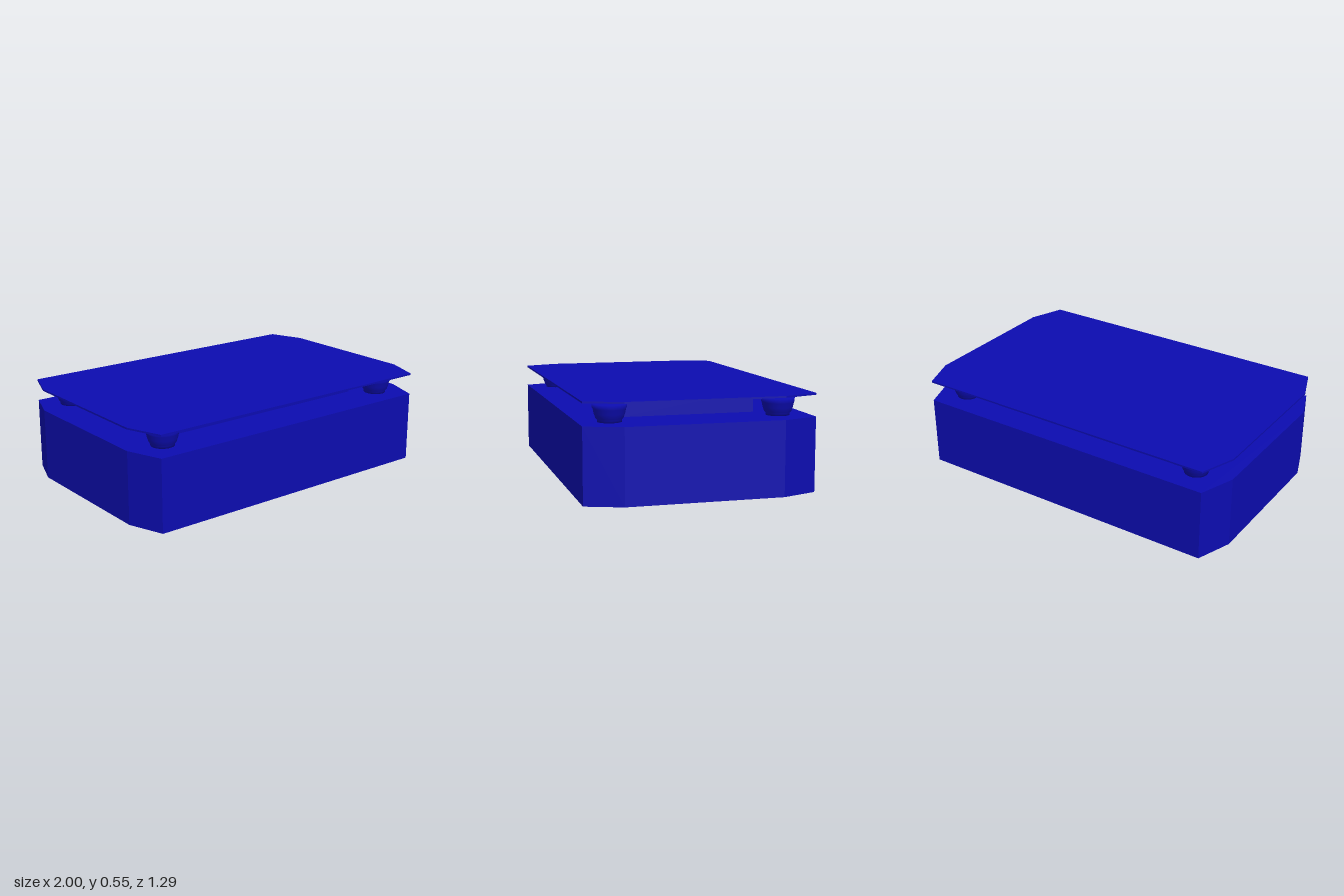
import * as THREE from 'three';

const material = new THREE.MeshStandardMaterial({ color: 0x0c0cb0 });

function addMesh(parent, name, geometry, x = 0, y = 0, z = 0) {
  const mesh = new THREE.Mesh(geometry, material);
  mesh.name = name;
  mesh.position.set(x, y, z);
  parent.add(mesh);
  return mesh;
}

// Slab with a rectangular outline and clipped corners, rising from y = 0
function clippedSlab(height) {
  const outline = [
    [0.925, -0.645], [1, -0.44], [1, 0.44], [0.925, 0.645],
    [-0.925, 0.645], [-1, 0.44], [-1, -0.44], [-0.925, -0.645],
  ].map(([x, z]) => new THREE.Vector2(x, z));
  const geometry = new THREE.ExtrudeGeometry(new THREE.Shape(outline), {
    depth: height, bevelEnabled: false,
  });
  return geometry.rotateX(-Math.PI / 2);
}

export function createModel() {
  const model = new THREE.Group();
  model.name = 'cornerBowlBlock';

  // Body, raised core and thin lid
  addMesh(model, 'base', clippedSlab(0.418));
  addMesh(model, 'core', new THREE.BoxGeometry(1.33, 0.122, 0.76), 0, 0.478, 0);
  addMesh(model, 'lid', clippedSlab(0.01), 0, 0.537, 0);

  // Round bowl-shaped supports on the four corners
  const profile = [
    [0, 0], [0.066, 0], [0.066, 0.012], [0.074, 0.02], [0.083, 0.045],
    [0.088, 0.07], [0.092, 0.076], [0.092, 0.097], [0, 0.097],
  ].map(([r, y]) => new THREE.Vector2(r, y));
  const bowl = new THREE.LatheGeometry(profile, 32);
  for (const sx of [-1, 1]) {
    for (const sz of [-1, 1]) {
      const name = (sz > 0 ? 'front' : 'back') + (sx > 0 ? 'Left' : 'Right') + 'Bowl';
      addMesh(model, name, bowl, sx * 0.797, 0.418, sz * 0.473);
    }
  }
  return model;
}
